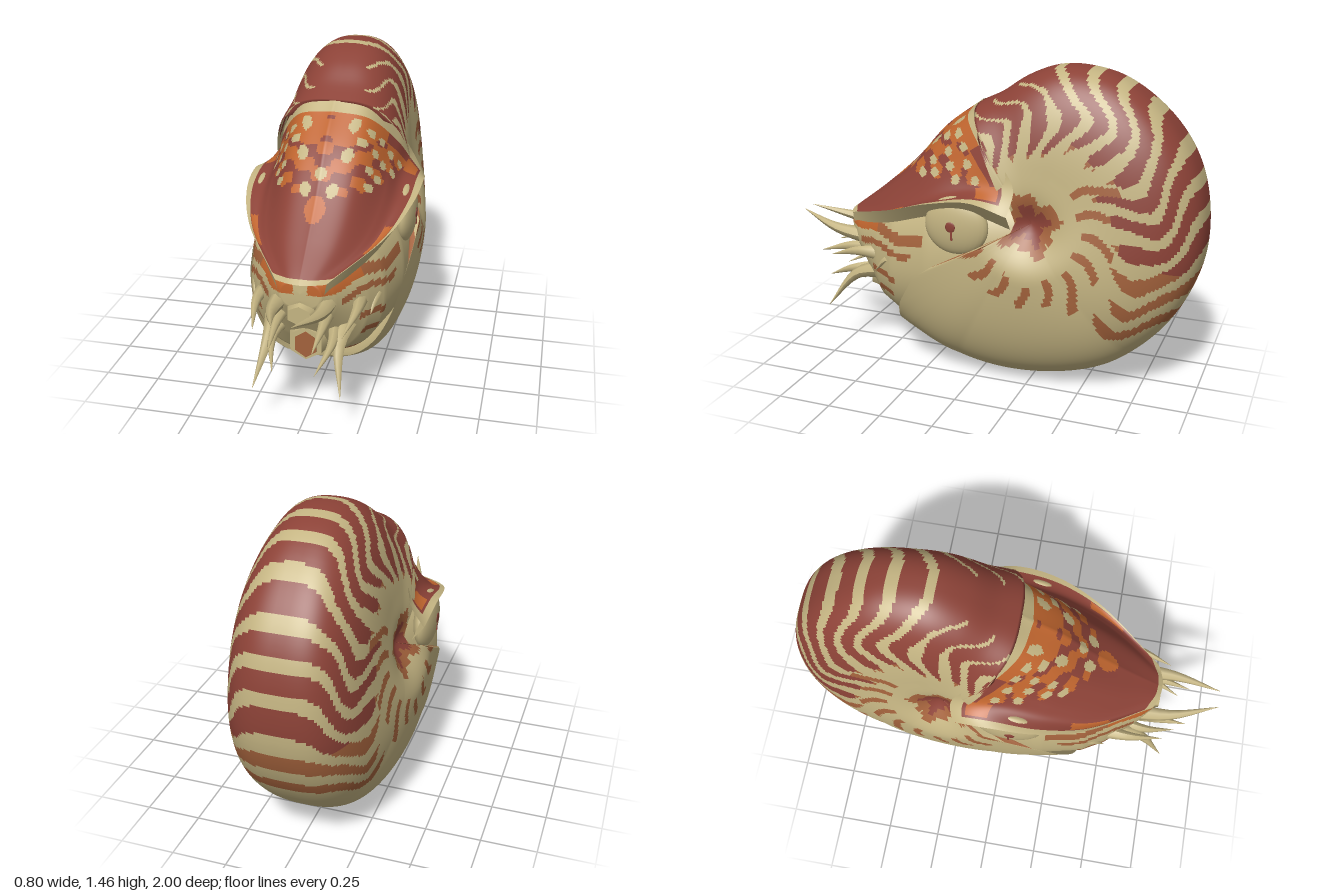
import * as THREE from 'three';
import { mergeVertices } from 'three/addons/utils/BufferGeometryUtils.js';

const mat = (name, color) => new THREE.MeshStandardMaterial({ name, color, side: THREE.DoubleSide });
const V = (p) => new THREE.Vector3(...p);
const clamp = THREE.MathUtils.clamp, smooth = THREE.MathUtils.smoothstep;
const DEG = 180 / Math.PI;
const TAN = 0, MAROON = 1, BROWN = 2, ORANGE = 3;
const hash = (n) => { const s = Math.sin(n * 12.9898 + 4.1) * 43758.5453; return s - Math.floor(s); };

// Mirrored surface from fn(a, b) on the +x side; paint picks a material for each quad
function mirroredSurface(name, fn, na, nb, paint, mats) {
  const pts = [];
  for (let i = 0; i <= na; i++) {
    pts.push([]);
    for (let j = 0; j <= nb; j++) pts[i].push(fn(i / na, j / nb));
  }
  const buckets = mats.map(() => []);
  for (let i = 0; i < na; i++) for (let j = 0; j < nb; j++) {
    const a = pts[i][j], b = pts[i][j + 1], c = pts[i + 1][j + 1], d = pts[i + 1][j];
    const mid = [0, 1, 2].map((k) => (a[k] + b[k] + c[k] + d[k]) / 4);
    const out = buckets[paint(...mid, (i + 0.5) / na, (j + 0.5) / nb)];
    for (const p of [a, b, c, a, c, d]) out.push(...p);
    for (const p of [a, c, b, a, d, c]) out.push(-p[0], p[1], p[2]);
  }
  let geo = new THREE.BufferGeometry();
  geo.setAttribute('position', new THREE.Float32BufferAttribute(buckets.flat(), 3));
  let start = 0;
  buckets.forEach((bk, k) => { geo.addGroup(start, bk.length / 3, k); start += bk.length / 3; });
  geo = mergeVertices(geo, 1e-4);
  geo.computeVertexNormals();
  const mesh = new THREE.Mesh(geo, mats);
  mesh.name = name;
  return mesh;
}

// Shell outlines as [z, y] around the coil centre
const CZ = -0.28, CY = 0.8;
const rim = [[0.05, 1.27], [-0.05, 1.32], [-0.17, 1.4], [-0.31, 1.452], [-0.46, 1.452], [-0.61, 1.41], [-0.79, 1.28],
  [-0.92, 1.11], [-0.985, 0.92], [-0.995, 0.66], [-0.93, 0.45], [-0.8, 0.26], [-0.62, 0.11], [-0.4, 0.03],
  [-0.11, 0.003], [0.16, 0.05], [0.4, 0.17]];
const back = new THREE.CatmullRomCurve3(rim.map(([z, y]) => V([0, y, z]))).getPoints(96).map((p) => [p.z, p.y]);
const mouthEdge = [[0.4, 0.22], [0.36, 0.34], [0.26, 0.5], [0.12, 0.6], [-0.1, 0.67], [-0.19, 0.74],
  [-0.21, 0.8], [-0.19, 0.87], [-0.13, 0.95], [-0.04, 1.12], [0.02, 1.24]];
const cutLoop = [...back, ...mouthEdge];
const fullLoop = [...back, [0.7, 0.35], [0.85, 0.8], [0.5, 1.15]];

function reach(loop, dz, dy) {
  for (let i = 0; i < loop.length; i++) {
    const p = loop[i], q = loop[(i + 1) % loop.length];
    const pz = p[0] - CZ, py = p[1] - CY, ez = q[0] - p[0], ey = q[1] - p[1];
    const den = dz * ey - dy * ez;
    const t = (pz * ey - py * ez) / den, s = (pz * dy - py * dz) / den;
    if (t > 0 && s >= -1e-6 && s <= 1 + 1e-6) return t;
  }
  return 0.1;
}

function shellPoint(a, b) {
  const phi = a * Math.PI * 2 - Math.PI;
  const dz = -Math.cos(phi), dy = Math.sin(phi);
  const R = reach(fullLoop, dz, dy), r = Math.min(reach(cutLoop, dz, dy), R) * Math.sin(b * Math.PI / 2);
  const q = clamp(r / R, 0, 1);
  const wide = 0.345 - 0.045 * dy + 0.02 * dz;
  const W = THREE.MathUtils.lerp(0.31, wide, smooth(r, 0, 0.25));
  const n = 2.5 + 0.5 * Math.max(smooth(dz, 0.2, 0.7), smooth(-dz, 0.3, 0.9), 0.6 * smooth(-dy, 0.4, 1));
  const x = W * Math.pow(Math.max(0, 1 - Math.pow(q, n)), 1 / n) * (1 - 0.12 * Math.exp(-r * r / 0.008));
  return [q > 0.99999 ? 0 : x, CY + dy * r, CZ + dz * r];
}

// Swept-back bands, short streaks around the navel
function shellPaint(x, y, z) {
  const dz = z - CZ, dy = y - CY, r = Math.hypot(dz, dy);
  const phi = Math.atan2(dy, -dz) * DEG;
  const q = r / reach(fullLoop, dz / r, dy / r);
  const navel = 0.125 + 0.02 * Math.sin(phi / 14) + 0.012 * Math.sin(phi / 6);
  if (r < navel) return r < navel - 0.05 ? MAROON : BROWN;
  const sweep = 22 * smooth(1 - q, -0.03, 0.27) - 9 * smooth(0.7 - q, 0, 0.3);
  const s = (phi + sweep + 1.8 * Math.sin(q * 17 + phi / 8) + 52) / 14;
  const k = Math.floor(s), f = Math.abs(s - k - 0.5) * 2;
  if (k >= 1 && phi > -75 && phi < 150) {
    const inner = k < 3 ? 0.6 : 0.38 + 0.17 * hash(k);
    const front = smooth(phi, 76, 98) * smooth(q, 0.72, 0.85);
    const duty = (0.46 + 0.14 * smooth(q, 0.5, 0.85) + 0.25 * front + 0.2 * front * smooth(q, 0.965, 0.985))
      * smooth(q, inner, inner + 0.1) * (k < 3 ? 0.85 : 1);
    if (f < duty) return phi < -16 || q < inner + 0.06 ? BROWN : MAROON;
  }
  const t = (phi + 7 * Math.sin(r * 18)) / 21, m = Math.floor(t);
  const from = 0.2 + 0.06 * hash(m + 30), to = 0.33 + 0.1 * hash(m + 60);
  if (r > from && r < to && (phi < 45 || phi > 178) && Math.abs(t - m - 0.5) < 0.18) return BROWN;
  return TAN;
}

// Hood rails from the ridge out to the flared edge, each running back to front
const hoodRails = [
  [[0, 1.275, 0.05], [0, 1.14, 0.23], [0, 0.97, 0.385], [0, 0.82, 0.555], [0, 0.69, 0.725]],
  [[0.15, 1.25, 0.02], [0.16, 1.1, 0.19], [0.145, 0.94, 0.36], [0.11, 0.8, 0.54], [0.04, 0.69, 0.72]],
  [[0.275, 1.09, -0.11], [0.258, 1.0, 0.06], [0.255, 0.89, 0.25], [0.21, 0.78, 0.46], [0.07, 0.69, 0.71]],
  [[0.325, 0.96, -0.21], [0.31, 0.93, -0.01], [0.308, 0.865, 0.2], [0.26, 0.775, 0.42], [0.095, 0.69, 0.7]],
  [[0.385, 0.85, -0.2], [0.4, 0.9, -0.03], [0.385, 0.87, 0.17], [0.31, 0.795, 0.39], [0.11, 0.69, 0.69]],
].map((rail) => new THREE.CatmullRomCurve3(rail.map(V)));

function hoodPoint(a, b) {
  const p = new THREE.CatmullRomCurve3(hoodRails.map((c) => c.getPoint(1 - a))).getPoint(b);
  return [b === 0 ? 0 : p.x, p.y, p.z];
}
// Underside fold joining the hood edge to the head
function foldPoint(a, b) {
  const p = hoodRails[4].getPoint(1 - a);
  return [p.x * (1 - 0.14 * b), p.y - 0.07 * b, p.z];
}

// Pale spots on the hood: [z, y] on the flanks, [x, y] along the ridge
const flankSpots = [[0.22, 1.02], [0.14, 1.07], [0.1, 1.15], [0.17, 1.13], [0.03, 1.03], [-0.02, 0.97], [0.27, 0.96],
  [0.2, 0.97], [0.08, 0.96], [0.06, 1.1], [0.12, 1.01]];
const ridgeSpots = [[0, 1.03], [0.1, 1.09], [0.11, 1.19], [0.06, 0.97]];
const near = (list, p, y, r) => list.some(([u, v]) => Math.hypot(p - u, y - v) < r);
function hoodPaint(x, y, z, a, b) {
  const v = 1 - a, across = b * 0.45, along = v * 0.95;
  if (b > 0.92 || v < 0.065 || v > 0.97) return TAN;
  if (b > 0.72 && v < 0.22) return v > 0.085 && b < 0.89 ? ORANGE : MAROON;
  if (b > 0.74 && b < 0.9 && z > 0.33 && z < 0.5) return ORANGE;
  if (x > 0.13 ? near(flankSpots, z, y, 0.021) : near(ridgeSpots, x, y, 0.025)) return TAN;
  if (b > 0.42 && v < 0.13) return MAROON;
  if (Math.hypot(x, y - 0.91) < 0.045) return ORANGE;
  const blotch = Math.sin(across * 55 + 1.5) * Math.sin(along * 52) + 0.4 * Math.sin(across * 30 + along * 37);
  return y > 0.95 && v < 0.5 && blotch > -1 + 0.95 * smooth(v, 0.1, 0.3) + smooth(b, 0.65, 0.85) ? ORANGE : MAROON;
}

// Head sections: z, half width, bottom, top
const headRows = [[-0.25, 0.28, 0.3, 0.88], [0, 0.36, 0.2, 0.9], [0.2, 0.355, 0.19, 0.88], [0.4, 0.305, 0.21, 0.82],
  [0.5, 0.25, 0.26, 0.77], [0.58, 0.19, 0.37, 0.73], [0.65, 0.14, 0.48, 0.7], [0.7, 0.09, 0.57, 0.69], [0.705, 0, 0.61, 0.64]];
function headPoint(a, b) {
  const s = a * (headRows.length - 1), i = Math.min(Math.floor(s), headRows.length - 2);
  const [z, w, lo, hi] = headRows[i].map((n, k) => THREE.MathUtils.lerp(n, headRows[i + 1][k], s - i));
  const t = b * Math.PI;
  const x = b === 0 || b === 1 ? 0 : w * Math.pow(Math.sin(t), b > 0.5 ? 0.5 : 0.75);
  return [x, (lo + hi) / 2 - (hi - lo) / 2 * Math.cos(t), z];
}
function headPaint(x, y, z) {
  const w = y + 0.012 * Math.sin(z * 22);
  if (z > 0.22 && x > 0.03 && w > 0.64 && w < 0.69) return z > 0.5 ? ORANGE : BROWN;
  if (z > 0.28 && z < 0.62 && w > 0.575 && w < 0.605) return BROWN;
  if (z > 0.38 && z < 0.53 && Math.abs(w - 0.46) < 0.016) return BROWN;
  if (z > 0.4 && z < 0.5 && Math.abs(w - 0.37) < 0.014) return BROWN;
  if (z > 0.3 && y < 0.265 && x > 0.06) return BROWN;
  return TAN;
}

// Tapered feeler along a curved path
function feeler(points, radius, material) {
  const curve = new THREE.CatmullRomCurve3(points.map(V));
  const rings = 10, sides = 7;
  const geo = new THREE.TubeGeometry(curve, rings, radius, sides);
  const pos = geo.attributes.position, p = new THREE.Vector3();
  for (let i = 0; i < pos.count; i++) {
    const t = Math.floor(i / (sides + 1)) / rings;
    const c = curve.getPointAt(t);
    p.fromBufferAttribute(pos, i).sub(c).multiplyScalar(1.02 - t).add(c);
    pos.setXYZ(i, p.x, p.y, p.z);
  }
  geo.computeVertexNormals();
  const mesh = new THREE.Mesh(geo, material);
  mesh.name = 'tentacle';
  return mesh;
}

export function createModel() {
  const model = new THREE.Group();
  model.name = 'nautilus';
  const mats = [mat('tan', 0xc4b482), mat('maroon', 0x8c4237), mat('brown', 0xa3623c), mat('orange', 0xc0652e)];
  const add = (name, geo, m, at, scale = [1, 1, 1], rx = 0) => {
    const mesh = new THREE.Mesh(geo, mats[m]);
    mesh.name = name;
    mesh.position.set(...at);
    mesh.scale.set(...scale);
    mesh.rotation.x = rx;
    model.add(mesh);
  };

  model.add(mirroredSurface('shell', shellPoint, 300, 56, shellPaint, mats));
  model.add(mirroredSurface('hood', hoodPoint, 90, 72, hoodPaint, mats));
  model.add(mirroredSurface('hoodFold', foldPoint, 40, 3, () => TAN, mats));
  model.add(mirroredSurface('head', headPoint, 80, 56, headPaint, mats));

  // Funnel under the tentacles, and a small beak above it
  add('funnel', new THREE.CylinderGeometry(0.08, 0.115, 0.14, 6).toNonIndexed(), TAN, [0, 0.36, 0.55], [1, 1, 1], Math.PI / 2);
  add('funnelOpening', new THREE.CylinderGeometry(0.06, 0.06, 0.006, 6), BROWN, [0, 0.355, 0.621], [0.9, 1, 1.05], Math.PI / 2);
  add('beak', new THREE.CylinderGeometry(0.055, 0.1, 0.14, 6), TAN, [0, 0.55, 0.66], [1, 1, 0.8], Math.PI / 2);

  // Eyes and tentacles on both sides
  const feelers = [
    [[0.1, 0.57, 0.55], [0.1, 0.595, 0.78], [0.04, 0.65, 1.0], 0.048],
    [[0.09, 0.52, 0.55], [0.1, 0.51, 0.72], [0.09, 0.465, 0.88], 0.042],
    [[0.17, 0.45, 0.46], [0.155, 0.39, 0.66], [0.19, 0.22, 0.8], 0.05],
    [[0.1, 0.43, 0.48], [0.13, 0.41, 0.68], [0.09, 0.34, 0.84], 0.042],
    [[0.2, 0.53, 0.42], [0.22, 0.54, 0.6], [0.19, 0.49, 0.77], 0.044],
    [[0.25, 0.51, 0.3], [0.27, 0.54, 0.42], [0.26, 0.47, 0.5], 0.05],
  ];
  for (const s of [1, -1]) {
    add('eye', new THREE.SphereGeometry(1, 28, 20), TAN, [s * 0.335, 0.77, 0.05], [0.05, 0.135, 0.15]);
    add('pupil', new THREE.SphereGeometry(1, 12, 8), MAROON, [s * 0.384, 0.775, 0.06], [0.004, 0.024, 0.024]);
    add('pupilSlit', new THREE.BoxGeometry(0.006, 0.06, 0.008), MAROON, [s * 0.383, 0.745, 0.055]);
    for (const [a, b, c, r] of feelers) {
      model.add(feeler([a, b, c].map(([x, y, z]) => [s * x, y, z]), r, mats[TAN]));
    }
  }
  return model;
}
